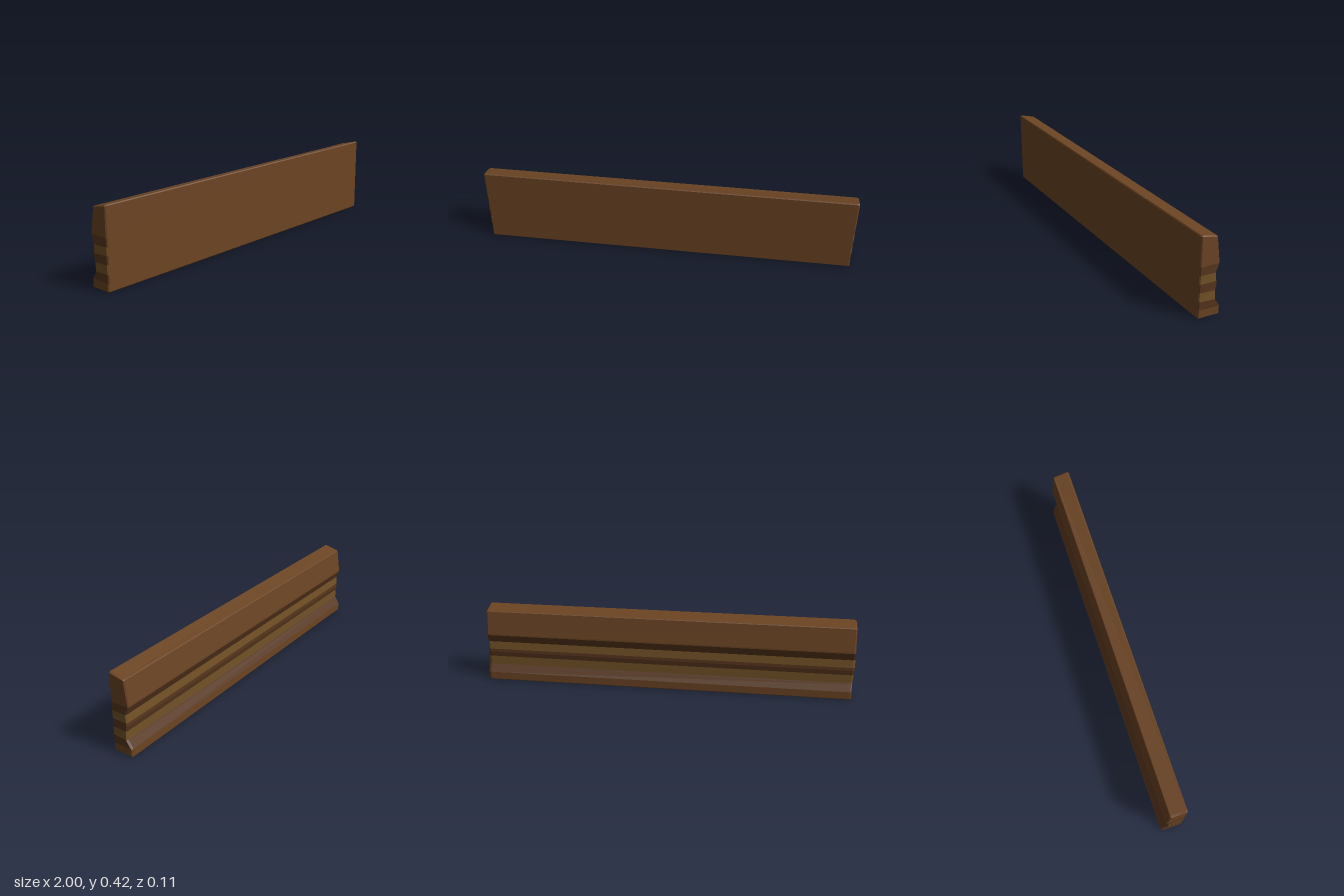
import * as THREE from 'three';

const COLORS = { board: 0x6b4423, darkStripe: 0x57361d, oliveStripe: 0x735226 };

// Moulding profile, bottom to top: [y back, z back, y front, z front, colour of the band above]
const ROWS = [
  [0, -0.053, 0, 0.054, 'board'],
  [0.005, -0.057, 0.005, 0.058, 'board'],
  [0.045, -0.057, 0.045, 0.058, 'darkStripe'],
  [0.08, -0.035, 0.08, 0.058, 'darkStripe'],
  [0.087, -0.031, 0.088, 0.058, 'oliveStripe'],
  [0.133, -0.031, 0.133, 0.058, 'darkStripe'],
  [0.160, -0.036, 0.160, 0.058, 'darkStripe'],
  [0.177, -0.035, 0.177, 0.058, 'oliveStripe'],
  [0.220, -0.031, 0.220, 0.058, 'darkStripe'],
  [0.257, -0.046, 0.257, 0.058, 'darkStripe'],
  [0.263, -0.048, 0.263, 0.058, 'board'],
  [0.270, -0.048, 0.270, 0.058, 'board'],
  [0.395, -0.031, 0.412, 0.058, 'board'],
  [0.399, -0.028, 0.417, 0.054, 'board'],
];

// Soft bump used to make the sawn ends slightly uneven
const bump = (y, centre, width) => Math.max(0, 1 - Math.abs(y - centre) / width);

// Eight points around the board at one height, with chamfered vertical corners
function ring([yb, zb, yf, zf], i) {
  const lip = i === 0 || i === ROWS.length - 1;
  const long = lip ? 0.982 : 0.987;
  const end = lip ? 0.987 : 0.993;
  const right = end + (lip ? 0 : 0.007 * bump(yb, 0.08, 0.2));
  const left = end + (lip ? 0 : 0.007 * bump(yb, 0.2, 0.15));
  const c = 0.005;
  return [
    [-long, yf, zf], [long, yf, zf],
    [end, yf, zf - c], [right, yb, zb + c],
    [long, yb, zb], [-long, yb, zb],
    [-left, yb, zb + c], [-end, yf, zf - c],
  ];
}

export function createModel() {
  const group = new THREE.Group();
  group.name = 'mouldedBoard';
  const parts = { board: [], darkStripe: [], oliveStripe: [] };
  const rings = ROWS.map(ring);
  const tri = (name, a, b, c) => parts[name].push(...a, ...b, ...c);

  // Sides: the front stays plain, the ends and back carry the stripes
  for (let i = 0; i < rings.length - 1; i++) {
    const lo = rings[i], hi = rings[i + 1];
    for (let k = 0; k < 8; k++) {
      const n = (k + 1) % 8;
      const name = k === 0 ? 'board' : ROWS[i][4];
      tri(name, lo[k], lo[n], hi[n]);
      tri(name, lo[k], hi[n], hi[k]);
    }
  }

  // Underside and sloping top
  const bottom = rings[0], top = rings[rings.length - 1];
  for (let k = 1; k < 7; k++) {
    tri('board', bottom[0], bottom[k + 1], bottom[k]);
    tri('board', top[0], top[k], top[k + 1]);
  }

  for (const [name, positions] of Object.entries(parts)) {
    const geometry = new THREE.BufferGeometry();
    geometry.setAttribute('position', new THREE.Float32BufferAttribute(positions, 3));
    geometry.computeVertexNormals();
    const material = new THREE.MeshStandardMaterial({ color: COLORS[name], flatShading: true });
    const mesh = new THREE.Mesh(geometry, material);
    mesh.name = name;
    group.add(mesh);
  }
  return group;
}
